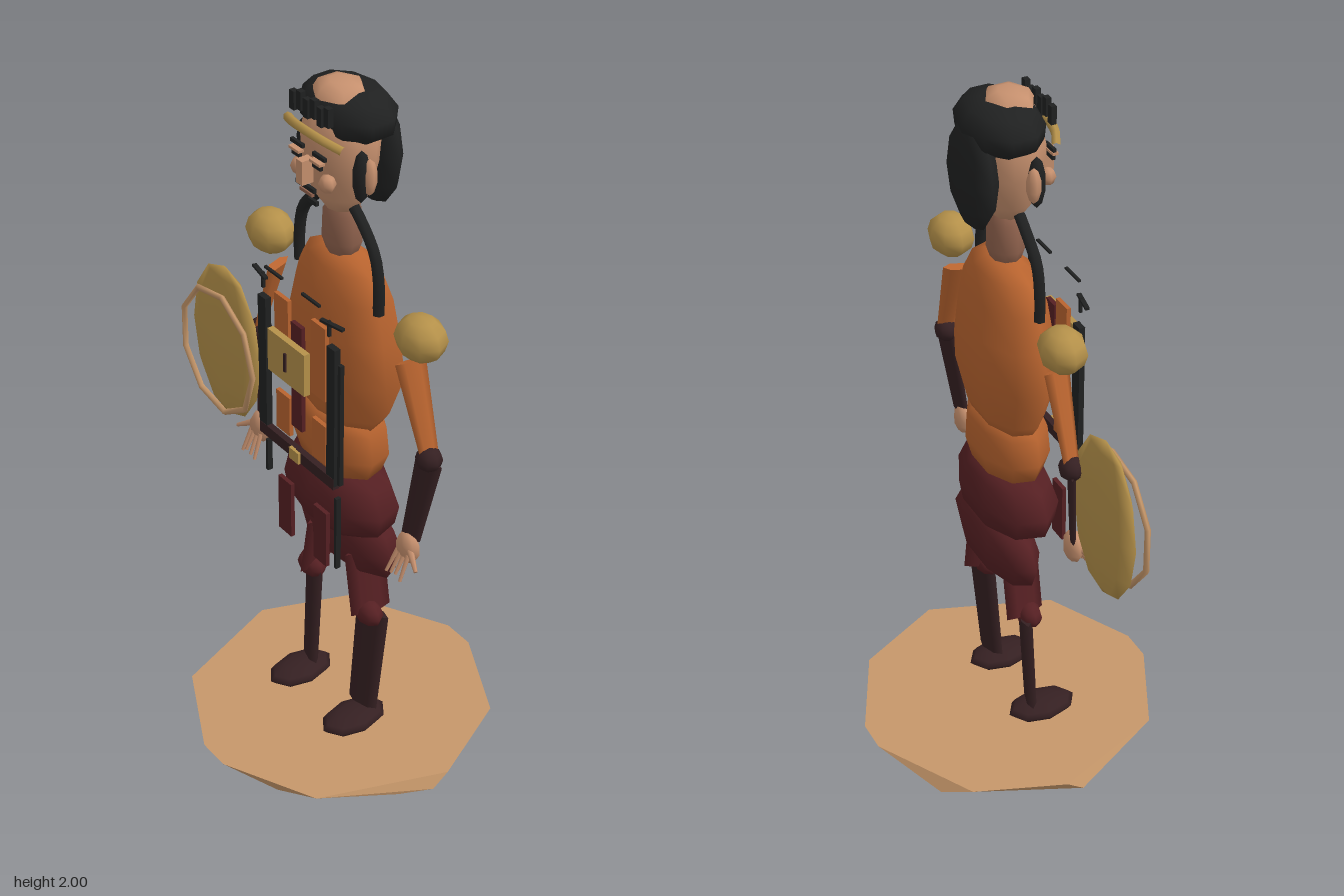
import * as THREE from 'three';
import { ConvexGeometry } from 'three/addons/geometries/ConvexGeometry.js';

const CX = 0.112; // the figure's own centre line

export function createModel() {
  const root = new THREE.Group();
  root.name = 'figurine';
  const mat = (name, color) => {
    const m = new THREE.MeshStandardMaterial({ color });
    m.name = name;
    return m;
  };
  const orange = mat('orange cloth', 0xb9642f);
  const red = mat('dark red cloth', 0x562023);
  const boot = mat('dark brown leather', 0x352022);
  const black = mat('black', 0x202121);
  const gold = mat('gold', 0xb5914a);
  const skin = mat('skin', 0xc6906e);
  const neckSkin = mat('shaded skin', 0x91634e);
  const wood = mat('tan wood', 0xc6976a);

  const add = (name, geo, material, x = 0, y = 0, z = 0) => {
    const m = new THREE.Mesh(geo, material);
    m.name = name;
    m.position.set(x, y, z);
    root.add(m);
    return m;
  };
  // Low-poly ellipsoid
  const blob = (name, material, x, y, z, rx, ry, rz, w = 8, h = 6) =>
    add(name, new THREE.SphereGeometry(1, w, h).scale(rx, ry, rz), material, x, y, z);
  const box = (name, material, x, y, z, w, h, d) =>
    add(name, new THREE.BoxGeometry(w, h, d), material, x, y, z);
  // Turned shape from [radius, height] pairs, squashed in depth
  const turned = (name, material, pts, depth, z = 0, segs = 9) =>
    add(name, new THREE.LatheGeometry(pts.map(p => new THREE.Vector2(...p)), segs)
      .scale(1, 1, depth), material, CX, 0, z);
  // Flattened limb between two points, turned about its own length
  const limb = (name, material, a, b, ra, rb, flat, yaw) => {
    const A = new THREE.Vector3(...a), B = new THREE.Vector3(...b);
    const dir = B.clone().sub(A);
    const m = add(name, new THREE.CylinderGeometry(rb, ra, dir.length(), 6, 1)
      .rotateY(Math.PI / 6).scale(1, 1, flat).rotateY(yaw), material);
    m.position.copy(A).add(B).multiplyScalar(0.5);
    m.quaternion.setFromUnitVectors(new THREE.Vector3(0, 1, 0), dir.normalize());
    return m;
  };
  const tube = (name, material, pts, r, n = 10) =>
    add(name, new THREE.TubeGeometry(
      new THREE.CatmullRomCurve3(pts.map(p => new THREE.Vector3(...p))), n, r, 6), material);

  // Rough-cut base slab
  const rim = [[0.065, -0.44], [0.16, -0.44], [0.42, -0.31], [0.55, -0.05], [0.42, 0.305],
    [0.16, 0.435], [0.065, 0.435], [-0.195, 0.305], [-0.32, -0.03], [-0.225, -0.28]];
  const low = [[0.55, 0], [0.51, 0.09], [-0.03, 0.37], [-0.32, 0.02], [-0.15, -0.345],
    [0.3, -0.36], [0.3, 0.35], [0.11, -0.42], [-0.25, 0.15]];
  add('base', new ConvexGeometry([
    ...rim.map(([x, z]) => new THREE.Vector3(x, 0.036, z)),
    ...low.map(([x, z]) => new THREE.Vector3(x, 0, z))]), wood);

  // Torso and hips
  turned('chest', orange, [[0, 1.03], [0.13, 1.03], [0.165, 1.08], [0.215, 1.21],
    [0.195, 1.33], [0.17, 1.43], [0.13, 1.5], [0.07, 1.53], [0, 1.535]], 0.54, -0.005);
  turned('waist', orange, [[0, 0.88], [0.14, 0.89], [0.165, 0.95], [0.155, 1.03],
    [0.12, 1.07], [0, 1.08]], 0.62);
  turned('upperSkirt', red, [[0, 0.685], [0.13, 0.69], [0.195, 0.735], [0.21, 0.795],
    [0.175, 0.86], [0.12, 0.89], [0, 0.895]], 0.56);
  turned('lowerSkirt', red, [[0, 0.525], [0.1, 0.535], [0.19, 0.575], [0.217, 0.64],
    [0.18, 0.7], [0.1, 0.725], [0, 0.73]], 0.36, -0.03);

  // Head and hair
  turned('neck', neckSkin, [[0, 1.5], [0.04, 1.51], [0.058, 1.56], [0.055, 1.64],
    [0.03, 1.68], [0, 1.69]], 0.85);
  turned('head', skin, [[0, 1.645], [0.045, 1.655], [0.08, 1.7], [0.105, 1.79],
    [0.11, 1.86], [0.09, 1.94], [0, 1.97]], 0.88, 0.005, 10);
  turned('hairCap', black, [[0.1, 1.86], [0.145, 1.89], [0.15, 1.93], [0.115, 1.965],
    [0.06, 1.98], [0, 1.982]], 0.7, -0.015, 10);
  turned('crown', skin, [[0.075, 1.965], [0.06, 1.99], [0.03, 2.0], [0, 2.0]], 0.95, 0.01, 6);
  blob('backHair', black, CX, 1.79, -0.09, 0.115, 0.155, 0.047);
  tube('headband', gold, [[0.0, 1.875, 0.085], [0.05, 1.89, 0.108], [CX, 1.895, 0.115],
    [0.174, 1.89, 0.108], [0.224, 1.875, 0.085]], 0.012);
  for (let i = 0; i < 6; i++)
    box('hairStrand', black, CX - 0.07 + i * 0.028, 1.942 + (i % 2) * 0.01, 0.096, 0.019, 0.05, 0.015);

  // Face
  box('nose', skin, CX, 1.785, 0.115, 0.025, 0.065, 0.035);
  box('moustache', black, CX, 1.742, 0.112, 0.075, 0.011, 0.009);
  box('mouth', neckSkin, CX, 1.724, 0.108, 0.05, 0.009, 0.009);
  box('chinBeard', black, CX, 1.69, 0.09, 0.035, 0.012, 0.009);

  // Shield held on the model's right, with its rim ring
  blob('shield', gold, -0.378, 1.0, 0.032, 0.165, 0.243, 0.03, 8, 6);
  add('shieldRing', new THREE.TorusGeometry(1, 0.05, 5, 9).scale(0.172, 0.192, 0.17),
    wood, -0.37, 0.985, 0.07);

  // Everything that comes in pairs
  for (const s of [-1, 1]) {
    const X = d => CX + s * d;
    // Features and side hair
    box('brow', black, X(0.045), 1.838, 0.104, 0.05, 0.01, 0.009);
    box('eye', black, X(0.043), 1.812, 0.108, 0.032, 0.012, 0.009);
    box('eyelid', skin, X(0.043), 1.824, 0.11, 0.042, 0.007, 0.016);
    blob('cheek', skin, X(0.058), 1.765, 0.09, 0.025, 0.025, 0.022, 6, 4);
    blob('ear', skin, X(0.128), 1.79, 0.015, 0.019, 0.05, 0.02, 6, 5);
    blob('sideburn', black, X(0.115), 1.79, 0.03, 0.02, 0.072, 0.024, 6, 5);
    tube('scarfTail', black, [[X(0.06), 1.675, 0.01], [X(0.1), 1.64, 0.01],
      [X(0.15), 1.58, 0.012], [X(0.168), 1.5, 0.012], [X(0.168), 1.42, 0.012]], 0.016);

    // Arm
    blob('shoulderGuard', gold, X(0.32), 1.425, -0.003, 0.075, 0.061, 0.063);
    limb('upperArm', orange, [X(0.368), 1.11, 0], [X(0.285), 1.34, 0], 0.026, 0.042, 0.32,
      Math.PI / 2 - s * 0.25);
    blob('elbow', boot, X(0.37), 1.09, 0, 0.037, 0.034, 0.035);
    limb('forearm', boot, [X(0.337), 0.83, 0.025], [X(0.37), 1.08, 0], 0.028, 0.038, 0.3, s * 0.4);
    blob('hand', skin, X(0.333), 0.8, 0.03, 0.04, 0.048, 0.027, 7, 5);
    for (let i = 0; i < 4; i++)
      limb('finger', skin, [X(0.302 + i * 0.019), 0.722 + (i % 3) * 0.006, 0.075],
        [X(0.312 + i * 0.014), 0.79, 0.045], 0.0045, 0.007, 1, 0);
    limb('thumb', skin, [X(0.405), 0.775, 0.06], [X(0.355), 0.805, 0.04], 0.005, 0.01, 1, 0);

    // Leg
    limb('thigh', red, [X(0.128), 0.43, -0.01], [X(0.095), 0.62, -0.01], 0.06, 0.06, 0.22,
      Math.PI / 2 - s * 0.15);
    blob('knee', red, X(0.132), 0.428, 0.0, 0.05, 0.038, 0.035);
    limb('shin', boot, [X(0.125), 0.1, 0.01], [X(0.135), 0.43, -0.012], 0.047, 0.053, 0.34, s * 0.3);
    blob('shoe', boot, X(0.128), 0.064, 0.045, 0.064, 0.028, 0.104);

    // Coat front, straps and hanging panels
    box('strap', black, X(0.15), 1.15, 0.137, 0.034, 0.42, 0.018);
    box('strapEdge', black, X(0.172), 1.13, 0.13, 0.012, 0.37, 0.012);
    box('lapel', orange, X(0.08), 1.28, 0.128, 0.06, 0.22, 0.012);
    box('lowerLapel', orange, X(0.08), 1.03, 0.125, 0.06, 0.12, 0.012);
    box('collarTrim', black, X(0.08), 1.47, 0.155, 0.075, 0.006, 0.008);
    box('strapTab', black, X(0.155), 1.432, 0.145, 0.075, 0.007, 0.012).rotation.y = s * 0.2;
    box('strapPin', black, X(0.142), 1.415, 0.145, 0.008, 0.045, 0.008);
    box('skirtPanel', red, X(0.08), 0.72, 0.122, 0.058, 0.175, 0.012);
    box('beltCord', black, X(0.155), s > 0 ? 0.775 : 0.85, 0.125, 0.01, s > 0 ? 0.23 : 0.1, 0.015);
  }

  // Centre of the coat
  box('sash', red, CX, 1.19, 0.138, 0.046, 0.32, 0.012);
  box('chestPlate', gold, CX, 1.25, 0.168, 0.16, 0.125, 0.018);
  box('chestPlateSlot', boot, CX, 1.25, 0.179, 0.008, 0.055, 0.006);
  box('belt', boot, CX, 0.947, 0.138, 0.33, 0.034, 0.018);
  box('buckle', gold, CX, 0.947, 0.15, 0.042, 0.034, 0.01);

  return root;
}
